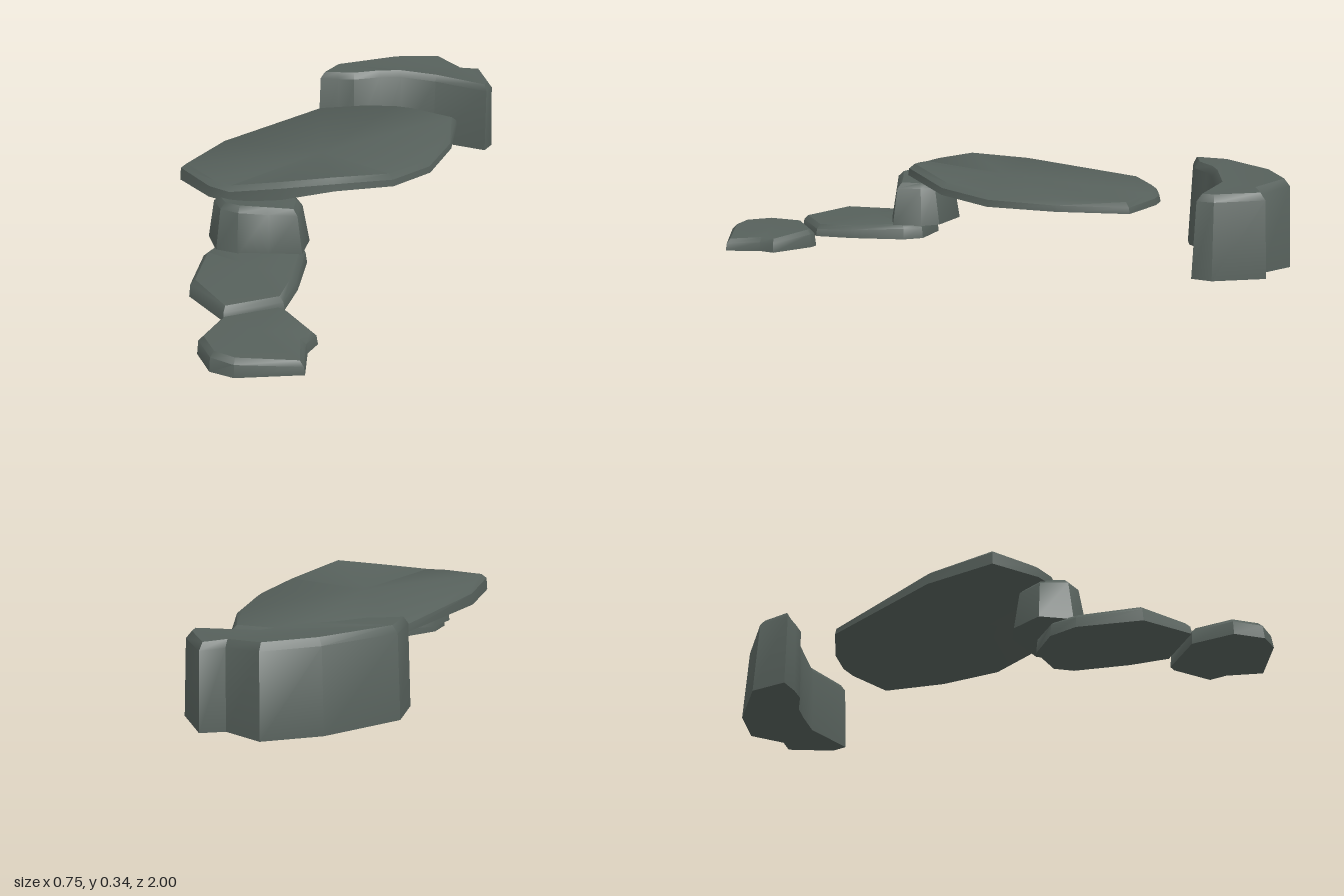
import * as THREE from 'three';
import { toCreasedNormals } from 'three/addons/utils/BufferGeometryUtils.js';

// Move an outline inwards along its averaged edge normals
function inset(pts, d) {
  const n = pts.length;
  return pts.map((p, i) => {
    const a = pts[(i + n - 1) % n], b = pts[(i + 1) % n];
    const e1 = new THREE.Vector2(p[0] - a[0], p[1] - a[1]).normalize();
    const e2 = new THREE.Vector2(b[0] - p[0], b[1] - p[1]).normalize();
    const t = e1.add(e2).normalize();
    return [p[0] - t.y * d, p[1] + t.x * d];
  });
}

// Stone from an outline of [x, z, top height, optional bottom height]:
// sloping wall, bevelled upper edge, and two caps
function stoneGeometry(pts, { base, lean, bevel, drop, centre }) {
  if (THREE.ShapeUtils.area(pts.map(p => new THREE.Vector2(p[0], p[1]))) < 0) pts = pts.slice().reverse();
  const n = pts.length;
  const shoulder = inset(pts, lean), rim = inset(pts, lean + bevel);
  const rings = [
    pts.map(p => new THREE.Vector3(p[0], p[3] ?? base, p[1])),
    shoulder.map((p, i) => new THREE.Vector3(p[0], pts[i][2] - drop, p[1])),
    rim.map((p, i) => new THREE.Vector3(p[0], pts[i][2], p[1])),
  ];
  const pos = [];
  const tri = (...v) => v.forEach(q => pos.push(q.x, q.y, q.z));
  for (let r = 0; r < 2; r++) {
    for (let i = 0; i < n; i++) {
      const j = (i + 1) % n, lo = rings[r], hi = rings[r + 1];
      tri(lo[i], hi[i], lo[j]);
      tri(lo[j], hi[i], hi[j]);
    }
  }
  const cap = (ring, up, c) => {
    let faces, verts = ring;
    if (c) {
      verts = [...ring, c];
      faces = ring.map((_, i) => [i, (i + 1) % n, n]);
    } else {
      faces = THREE.ShapeUtils.triangulateShape(ring.map(v => new THREE.Vector2(v.x, v.z)), []);
    }
    faces.forEach(([a, b, d]) => up ? tri(verts[a], verts[d], verts[b]) : tri(verts[a], verts[b], verts[d]));
  };
  const [cx, cz, top, bottom] = centre ?? [];
  cap(rings[0], false, centre && new THREE.Vector3(cx, bottom, cz));
  cap(rings[2], true, centre && new THREE.Vector3(cx, top, cz));
  const g = new THREE.BufferGeometry();
  g.setAttribute('position', new THREE.Float32BufferAttribute(pos, 3));
  return toCreasedNormals(g, 0.7);
}

export function createModel() {
  const group = new THREE.Group();
  const stone = new THREE.MeshStandardMaterial({ color: 0x56605b });
  stone.name = 'dark grey green stone';

  const add = (name, outline, options) => {
    const mesh = new THREE.Mesh(stoneGeometry(outline, options), stone);
    mesh.name = name;
    group.add(mesh);
  };

  // Lowest stepping stone
  add('lowerStep', [
    [0.04, 0.79, 0.06], [0.17, 0.66, 0.06], [0.2, 0.66, 0.06], [0.335, 0.73, 0.045], [0.33, 0.79, 0.045],
    [0.375, 0.9, 0.04], [0.2, 1, 0.055], [0.12, 1, 0.06], [0.04, 0.93, 0.06],
  ], { base: 0, lean: 0.005, bevel: 0.016, drop: 0.015, centre: [0.18, 0.83, 0.059, 0] });

  // Second stepping stone
  add('middleStep', [
    [-0.187, 0.5, 0.088], [-0.17, 0.4, 0.095], [-0.08, 0.3, 0.1], [0.06, 0.29, 0.092], [0.11, 0.34, 0.09],
    [0.165, 0.52, 0.08], [0.185, 0.65, 0.078], [0.05, 0.79, 0.08], [-0.12, 0.7, 0.094],
  ], { base: 0.038, lean: 0.005, bevel: 0.016, drop: 0.015, centre: [-0.02, 0.53, 0.096, 0.038] });

  // Tall block that carries the front of the slab
  add('supportBlock', [
    [-0.225, 0.39, 0.235], [-0.19, 0.28, 0.235], [-0.12, 0.235, 0.242], [0.04, 0.235, 0.235], [0.09, 0.28, 0.232],
    [0.112, 0.38, 0.232], [0.02, 0.435, 0.238], [-0.07, 0.48, 0.246], [-0.15, 0.475, 0.246],
  ], { base: 0.087, lean: 0.022, bevel: 0.02, drop: 0.018 });

  // Large flat slab with one lifted corner
  add('mainSlab', [
    [0.04, -0.57, 0.265], [0.11, -0.577, 0.265], [0.29, -0.552, 0.263], [0.35, -0.33, 0.263], [0.36, -0.1, 0.266],
    [0.305, 0.09, 0.282, 0.245], [0.18, 0.28, 0.318, 0.28], [0.02, 0.345, 0.298, 0.245], [-0.14, 0.4, 0.278],
    [-0.22, 0.39, 0.28], [-0.375, 0.31, 0.286], [-0.365, 0.06, 0.282], [-0.215, -0.42, 0.266], [-0.07, -0.525, 0.265],
  ], { base: 0.229, lean: 0.004, bevel: 0.02, drop: 0.015, centre: [0, 0, 0.276, 0.231] });

  // Curved wall stone at the back
  add('backWall', [
    [0.05, -1, 0.333], [0.17, -0.94, 0.32], [0.24, -0.97, 0.315], [0.338, -0.83, 0.313], [0.332, -0.765, 0.313],
    [0.12, -0.765, 0.32], [0, -0.715, 0.336], [-0.07, -0.68, 0.336], [-0.15, -0.612, 0.336], [-0.21, -0.59, 0.336],
    [-0.286, -0.575, 0.336], [-0.286, -0.715, 0.336], [-0.11, -0.91, 0.336],
  ], { base: 0.055, lean: 0.011, bevel: 0.018, drop: 0.022 });

  return group;
}
